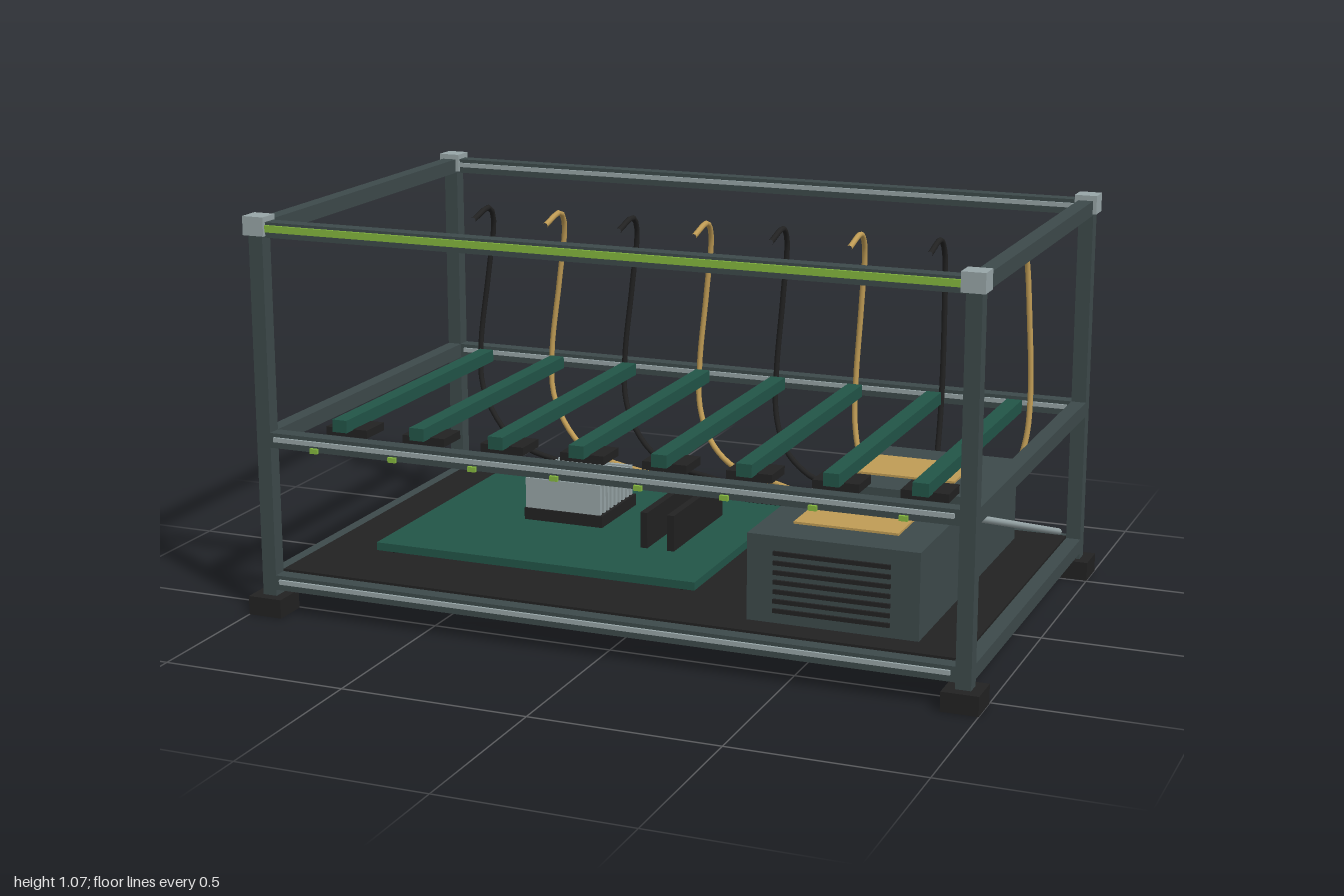
import * as THREE from 'three';

const paint = (name, color) => {
  const m = new THREE.MeshStandardMaterial({ color });
  m.name = name;
  return m;
};

export function createModel() {
  const model = new THREE.Group();
  model.name = 'openFrameRig';
  const slate = paint('slate frame', 0x3d4a4b);
  const grey = paint('light grey metal', 0x98a6a8);
  const black = paint('black plastic', 0x222222);
  const green = paint('board green', 0x225548);
  const lime = paint('lime light', 0x86b93f);
  const gold = paint('gold', 0xc09c55);

  const group = (name) => {
    const g = new THREE.Group();
    g.name = name;
    model.add(g);
    return g;
  };
  const box = (parent, name, mat, w, h, d, x, y, z) => {
    const m = new THREE.Mesh(new THREE.BoxGeometry(w, h, d), mat);
    m.name = name;
    m.position.set(x, y, z);
    parent.add(m);
    return m;
  };
  // round rod between two points
  const rod = (parent, name, mat, a, b, r) => {
    const dir = b.clone().sub(a);
    const m = new THREE.Mesh(new THREE.CylinderGeometry(r, r, dir.length(), 12), mat);
    m.name = name;
    m.position.copy(a).lerp(b, 0.5);
    m.quaternion.setFromUnitVectors(new THREE.Vector3(0, 1, 0), dir.normalize());
    parent.add(m);
  };
  const V = (x, y, z) => new THREE.Vector3(x, y, z);

  // Frame: posts, feet, caps, rails and diagonal braces
  const PX = 0.952, PZ = 0.553, T = 0.04;
  const frame = group('frame');
  for (const sx of [-1, 1]) {
    for (const sz of [-1, 1]) {
      box(frame, 'post', slate, T, 0.99, T, sx * PX, 0.545, sz * PZ);
      box(frame, 'foot', black, 0.096, 0.051, 0.096, sx * PX, 0.0255, sz * 0.554);
      box(frame, 'cornerCap', grey, 0.06, 0.05, 0.06, sx * PX, 1.047, sz * 0.554);
    }
    rod(frame, 'brace', grey, V(sx * 0.92, 0.462, 0.5), V(sx * 0.92, 0.137, -0.492), 0.009);
  }
  for (const y of [0.088, 0.479, 1.038]) {
    for (const s of [-1, 1]) {
      box(frame, 'longRail', slate, 2 * PX - T, T, T, 0, y, s * PZ);
      box(frame, 'sideRail', slate, T, T, 2 * PZ - T, s * PX, y, 0);
      // slot strip on the forward face of each long rail
      const isLight = y > 1 && s > 0;
      box(frame, isLight ? 'lightStrip' : 'slotStrip', isLight ? lime : grey,
        1.84, isLight ? 0.018 : 0.012, 0.008, 0, y + 0.004, s * PZ + 0.023);
    }
  }

  // Base tray
  box(model, 'tray', black, 1.864, 0.017, 1.066, 0, 0.106, 0);

  // Mainboard with standoffs, finned cooler and memory sticks
  const board = group('mainboard');
  box(board, 'circuitBoard', green, 0.925, 0.022, 0.77, -0.298, 0.138, -0.055);
  for (const x of [-0.72, 0.12]) {
    for (const z of [-0.4, 0.29]) {
      rod(board, 'standoff', black, V(x, 0.11, z), V(x, 0.13, z), 0.012);
    }
  }
  box(board, 'coolerBase', black, 0.235, 0.034, 0.24, -0.364, 0.165, -0.136);
  for (let i = 0; i < 9; i++) {
    box(board, 'coolerFin', grey, 0.225, 0.086, 0.013, -0.367, 0.225, -0.244 + i * 0.027);
  }
  for (const x of [-0.07, 0.007]) {
    box(board, 'memoryStick', black, 0.02, 0.1, 0.364, x, 0.198, -0.075);
  }

  // Two power supplies with gold top plates, front one vented
  for (const s of [-1, 1]) {
    const psu = group(s > 0 ? 'frontPowerSupply' : 'backPowerSupply');
    box(psu, 'case', slate, 0.45, 0.228, 0.41, 0.58, 0.228, s * 0.25);
    box(psu, 'topPlate', gold, 0.276, 0.006, 0.183, 0.575, 0.345, s * 0.249);
    if (s > 0) {
      for (let i = 0; i < 7; i++) {
        box(psu, 'ventSlat', black, 0.305, 0.011, 0.008, 0.578, 0.148 + i * 0.025, 0.458);
      }
    }
  }

  // Eight expansion cards, each with a connector, a status light and a cable
  for (let i = 0; i < 8; i++) {
    const x = -0.8 + i * 0.228;
    const card = group('expansionCard');
    box(card, 'cardBoard', green, 0.042, 0.034, 0.882, x, 0.497, 0);
    box(card, 'connector', black, 0.122, 0.022, 0.095, x, 0.471, 0.357);
    box(card, 'statusLight', lime, 0.022, 0.013, 0.009, x, 0.464, PZ + 0.0245);

    // cable arches over the back, drops and sweeps toward the power supply
    const d = 0.568 - x, a = Math.abs(d);
    const bulge = 0.05 * Math.sign(d) * Math.sqrt(a);
    const turn = THREE.MathUtils.clamp(0.2 * d, -0.09, 0.09);
    const path = new THREE.CatmullRomCurve3([
      V(x, 0.912, -0.37),
      V(x, 0.932, -0.475),
      V(x - 0.1 * bulge, 0.89, -0.515),
      V(x - 0.55 * bulge, 0.72, -0.527),
      V(x - bulge, 0.51, -0.522),
      V(x - 0.8 * bulge, 0.385, -0.505),
      V(x + 0.15 * turn, 0.29, -0.48),
      V(x + turn, 0.23, -0.46),
      V(x + turn + 0.2 * d, 0.23 - 0.035 * a, -0.427),
      V(x + 0.6 * d, 0.205 - 0.025 * a, -0.36),
      V(x + 0.9 * d, 0.205, -0.27),
    ]);
    const cable = new THREE.Mesh(new THREE.TubeGeometry(path, 60, 0.008, 8), i % 2 ? gold : black);
    cable.name = 'cable';
    card.add(cable);
  }
  return model;
}
